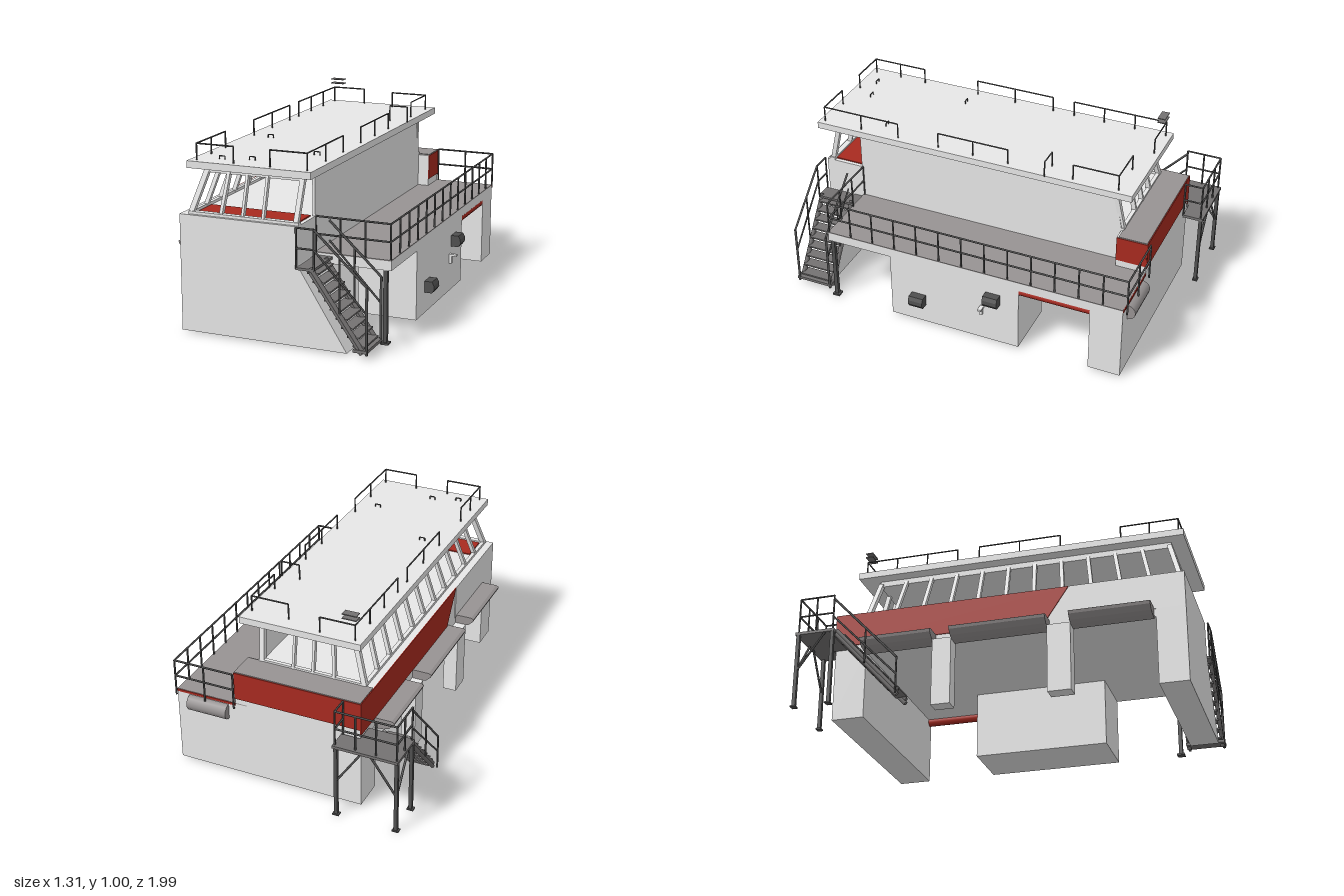
import * as THREE from 'three';

const mat = (name, color) => {
  const m = new THREE.MeshStandardMaterial({ color });
  m.name = name;
  return m;
};

export function createModel() {
  const root = new THREE.Group();
  root.name = 'deckhouse';
  const hull = mat('pale grey paint', 0xececec);
  const deckGrey = mat('deck grey', 0x979393);
  const red = mat('red paint', 0xa82a20);
  const metal = mat('dark metal', 0x505050);
  const grating = mat('stair grey', 0x747272);
  let parent = root;

  const add = (name, geo, material) => {
    const m = new THREE.Mesh(geo, material);
    m.name = name;
    parent.add(m);
    return m;
  };
  const group = (name, build) => {
    const old = parent;
    parent = new THREE.Group();
    parent.name = name;
    build();
    old.add(parent);
    parent = old;
  };
  const box = (name, m, x0, x1, y0, y1, z0, z1) => {
    const b = add(name, new THREE.BoxGeometry(x1 - x0, y1 - y0, z1 - z0), m);
    b.position.set((x0 + x1) / 2, (y0 + y1) / 2, (z0 + z1) / 2);
  };
  // Straight bar between two points: round, or rectangular when depth is given
  const bar = (name, m, p, q, w = 0.005, depth = 0) => {
    const a = new THREE.Vector3(...p), b = new THREE.Vector3(...q), len = a.distanceTo(b);
    const geo = depth ? new THREE.BoxGeometry(w, len, depth) : new THREE.CylinderGeometry(w, w, len, 6);
    const mesh = add(name, geo, m);
    mesh.position.copy(a).lerp(b, 0.5);
    mesh.quaternion.setFromUnitVectors(new THREE.Vector3(0, 1, 0), b.sub(a).normalize());
  };
  const extrude = (pts, depth) => new THREE.ExtrudeGeometry(
    new THREE.Shape(pts.map(p => new THREE.Vector2(...p))), { depth, bevelEnabled: false });
  // Outline in x/y extruded along z
  const prism = (name, m, pts, z0, z1) => { add(name, extrude(pts, z1 - z0), m).position.z = z0; };
  // Outline in z/y, thickened from x towards -x
  const sidePlate = (name, m, pts, x, depth) => {
    const mesh = add(name, extrude(pts, depth), m);
    mesh.rotation.y = -Math.PI / 2;
    mesh.position.x = x;
  };
  // Railing along a path of [x, z] points
  const rail = (name, pts, y0, y1, mids = [], spacing = 0.13, r = 0.005) => group(name, () => {
    for (let i = 0; i < pts.length - 1; i++) {
      const [ax, az] = pts[i], [bx, bz] = pts[i + 1];
      const n = Math.max(1, Math.round(Math.hypot(bx - ax, bz - az) / spacing));
      for (const y of [y1, ...mids]) bar('railBar', metal, [ax, y, az], [bx, y, bz], r);
      for (let k = i ? 1 : 0; k <= n; k++) {
        const x = ax + (bx - ax) * k / n, z = az + (bz - az) * k / n;
        bar('railPost', metal, [x, y0, z], [x, y1, z], r);
      }
    }
  });

  // Lower structure: front wall, middle room, rear room and left pillars
  prism('frontWall', hull, [[-0.41, 0.01], [0.46, 0.01], [0.21, 0.41], [-0.41, 0.41]], 0.81, 0.96);
  box('middleRoom', hull, 0.29, 0.6, 0.01, 0.37, -0.33, 0.39);
  box('rearRoom', hull, -0.41, 0.6, 0.01, 0.37, -0.88, -0.71);
  for (const [z0, z1] of [[-0.33, -0.23], [0.27, 0.39]])
    box('leftPillar', hull, -0.465, -0.39, 0.01, 0.37, z0, z1);
  box('deckPost', metal, 0.56, 0.58, 0, 0.37, 0.73, 0.75);
  box('deckPostFoot', metal, 0.55, 0.59, 0, 0.01, 0.72, 0.76);

  // Upper storey and side deck
  box('upperStorey', hull, -0.405, 0.21, 0.37, 0.598, -0.88, 0.96);
  box('frontCorner', hull, -0.41, -0.4, 0.41, 0.598, 0.37, 0.96);
  box('sideDeck', hull, 0.21, 0.6, 0.37, 0.417, -0.88, 0.75);
  box('sideDeckTop', deckGrey, 0.21, 0.6, 0.417, 0.422, -0.88, 0.75);
  box('rearLocker', hull, 0.21, 0.27, 0.42, 0.597, -0.88, -0.72);
  box('rearLedgeTop', deckGrey, -0.405, 0.272, 0.597, 0.602, -0.88, -0.73);

  // Red panels on the upper storey
  box('redRearPanel', red, -0.41, 0.272, 0.45, 0.598, -0.885, -0.88);
  box('redDeckEdge', red, 0.272, 0.6, 0.408, 0.42, -0.884, -0.88);
  box('redLockerPanel', red, 0.27, 0.274, 0.46, 0.595, -0.88, -0.72);
  sidePlate('redLeftPanel', red, [[-0.884, 0.42], [0.25, 0.42], [0.37, 0.598], [-0.884, 0.598]], -0.405, 0.005);
  box('redCabinFloor', red, -0.34, 0.19, 0.598, 0.604, 0.76, 0.915);
  const awning = add('redRolledAwning', new THREE.CylinderGeometry(0.023, 0.023, 0.38, 10), red);
  awning.rotation.x = Math.PI / 2;
  awning.position.set(0.578, 0.357, -0.52);

  // Rounded canopies along the left side
  const canopy = [[-0.4, 0.418], [-0.495, 0.418], [-0.51, 0.41], [-0.505, 0.395], [-0.48, 0.372], [-0.45, 0.362], [-0.4, 0.36]];
  for (const [z0, z1] of [[-0.71, -0.33], [-0.23, 0.27], [0.39, 0.8]])
    prism('leftCanopy', deckGrey, canopy, z0, z1);

  // Rolled canopy on the rear wall
  const roll = add('rearCanopy', new THREE.CylinderGeometry(0.042, 0.042, 0.22, 14), deckGrey);
  roll.rotation.z = Math.PI / 2;
  roll.position.set(0.42, 0.362, -0.88);

  // Cabin with sloping window frames
  group('cabin', () => {
    const yb = 0.6, yt = 0.81;
    const post = (xb, xt, zb, zt, w, d) => bar('windowPost', hull, [xb, yb, zb], [xt, yt, zt], w, d);
    // front and rear posts as [bottom x, top x, width]
    const posts = [[-0.36, -0.295, 0.026], [-0.2, -0.178, 0.016], [-0.085, -0.08, 0.013], [0.022, 0.025, 0.013], [0.192, 0.205, 0.024]];
    for (const [xb, xt, w] of posts) {
      post(xb, xt, 0.93, 0.875, w, 0.024);
      post(xb, xt, -0.725, -0.685, w, 0.024);
    }
    for (let i = 1; i < 11; i++) post(-0.36, -0.295, -0.725 + 1.655 * i / 11, -0.685 + 1.56 * i / 11, 0.02, 0.02);
    // solid wall on the deck side, sloping at its rear end
    sidePlate('deckSideWall', hull, [[-0.725, yb - 0.01], [0.75, yb - 0.01], [0.75, yt], [-0.685, yt]], 0.21, 0.015);
    // sills
    box('frontSill', hull, -0.37, 0.21, 0.595, 0.612, 0.915, 0.945);
    box('rearSill', hull, -0.37, 0.21, 0.595, 0.612, -0.735, -0.715);
    box('leftSill', hull, -0.37, -0.35, 0.595, 0.612, -0.73, 0.94);
    // roof
    box('windowHead', hull, -0.3, 0.212, 0.798, 0.83, -0.69, 0.885);
    box('roof', hull, -0.365, 0.28, 0.828, 0.863, -0.79, 0.96);
  });

  // Roof railings, fittings and aerial
  const runs = [
    [[-0.13, 0.93], [-0.325, 0.93], [-0.325, 0.63]], [[0.06, 0.93], [0.25, 0.93], [0.25, 0.5]],
    [[-0.325, 0.31], [-0.325, -0.13]], [[0.25, 0.27], [0.25, -0.12]],
    [[-0.325, -0.25], [-0.325, -0.76], [-0.14, -0.76]], [[0.25, -0.47], [0.25, -0.71], [0.05, -0.71]],
  ];
  for (const p of runs) rail('roofRailing', p, 0.86, 0.945, [], 0.18, 0.004);
  rail('roofStep', [[0.18, -0.33], [0.28, -0.33]], 0.86, 0.945, [], 0.1, 0.004);
  for (const [x, z] of [[-0.22, 0.33], [-0.22, 0.87], [-0.08, 0.83], [0.16, 0.61]])
    rail('roofHandle', [[x - 0.015, z], [x + 0.015, z]], 0.86, 0.88, [], 0.03, 0.003);
  for (const y of [0.97, 0.993]) box('aerialPlate', grating, -0.335, -0.26, y, y + 0.005, -0.77, -0.73);

  // Deck railing
  rail('deckRailing', [[0.21, 0.745], [0.595, 0.745], [0.595, -0.9], [0.27, -0.9]], 0.4, 0.598, [0.51]);

  // Flight of steps between two [along, y] points; map turns (along, y, across) into x, y, z
  const flight = (name, a, b, w0, w1, n, map) => group(name, () => {
    for (const w of [w0, w1])
      for (const dy of [-0.01, 0.01])
        bar('stringer', grating, map(a[0], a[1] + dy, w), map(b[0], b[1] + dy, w), 0.011);
    for (let i = 0; i < n; i++) {
      const t = (i + 0.5) / n, l = a[0] + (b[0] - a[0]) * t, y = a[1] + (b[1] - a[1]) * t;
      const p = map(l - 0.032, y, w0), q = map(l + 0.028, y + 0.008, w1);
      const r = [0, 1, 2].map(k => [Math.min(p[k], q[k]), Math.max(p[k], q[k])]).flat();
      box('tread', grating, ...r);
    }
  });

  // Front stair, descending sideways from the deck
  flight('frontStair', [0.28, 0.4], [0.54, 0.03], 0.79, 0.97, 9, (l, y, w) => [l, y, w]);
  box('frontLanding', grating, 0.21, 0.3, 0.395, 0.407, 0.75, 0.98);
  rail('frontLandingRailing', [[0.21, 0.975], [0.3, 0.975]], 0.4, 0.598, [0.5], 0.09);
  for (const z of [0.79, 0.975]) {
    bar('stairHandrail', metal, [0.3, 0.598, z], [0.565, 0.35, z], 0.006);
    bar('stairMidRail', metal, [0.3, 0.5, z], [0.565, 0.22, z], 0.005);
    bar('stairRailPost', metal, [0.43, 0.19, z], [0.43, 0.475, z]);
    bar('stairRailPost', metal, [0.565, 0.02, z], [0.565, 0.35, z], 0.007);
  }
  box('frontStairFoot', grating, 0.5, 0.57, 0.03, 0.045, 0.78, 0.985);

  // Rear platform with braced legs and stair
  group('rearPlatform', () => {
    box('platformFloor', grating, -0.65, -0.41, 0.395, 0.41, -1, -0.79);
    box('platformFloor', grating, -0.41, -0.31, 0.395, 0.41, -1, -0.89);
    for (const [x, z] of [[-0.64, -0.985], [-0.325, -0.985], [-0.64, -0.8]]) {
      box('platformLeg', metal, x - 0.009, x + 0.009, 0, 0.4, z - 0.009, z + 0.009);
      box('legFoot', metal, x - 0.017, x + 0.017, 0, 0.008, z - 0.014, z + 0.014);
    }
    bar('brace', metal, [-0.64, 0.2, -0.985], [-0.5, 0.4, -0.985], 0.006);
    bar('brace', metal, [-0.325, 0.2, -0.985], [-0.46, 0.4, -0.985], 0.006);
    bar('brace', metal, [-0.64, 0.2, -0.985], [-0.64, 0.4, -0.84], 0.006);
    rail('platformRailing', [[-0.64, -0.8], [-0.64, -0.985], [-0.32, -0.985], [-0.32, -0.89]], 0.4, 0.598, [0.5], 0.12);
  });
  flight('rearStair', [-0.79, 0.4], [-0.45, 0.03], -0.615, -0.49, 8, (l, y, w) => [w, y, l]);
  bar('rearHandrail', metal, [-0.64, 0.58, -0.8], [-0.64, 0.21, -0.45], 0.006);
  bar('rearMidRail', metal, [-0.64, 0.48, -0.8], [-0.64, 0.12, -0.45]);
  for (const [z, y] of [[-0.62, 0.2], [-0.45, 0.02]]) bar('rearRailPost', metal, [-0.64, y, z], [-0.64, y + 0.19, z]);

  // Wall lamps and bracket on the middle room
  const lamp = [[0.6, -0.03], [0.64, -0.03], [0.652, -0.012], [0.65, 0.01], [0.64, 0.03], [0.6, 0.03]];
  for (const [y, z] of [[0.15, 0.19], [0.28, -0.23]])
    prism('wallLamp', metal, lamp.map(([x, dy]) => [x, y + dy]), z, z + 0.08);
  box('wallBracket', hull, 0.6, 0.615, 0.165, 0.215, -0.135, -0.12);
  box('wallBracketTop', hull, 0.6, 0.64, 0.205, 0.215, -0.14, -0.12);

  return root;
}
